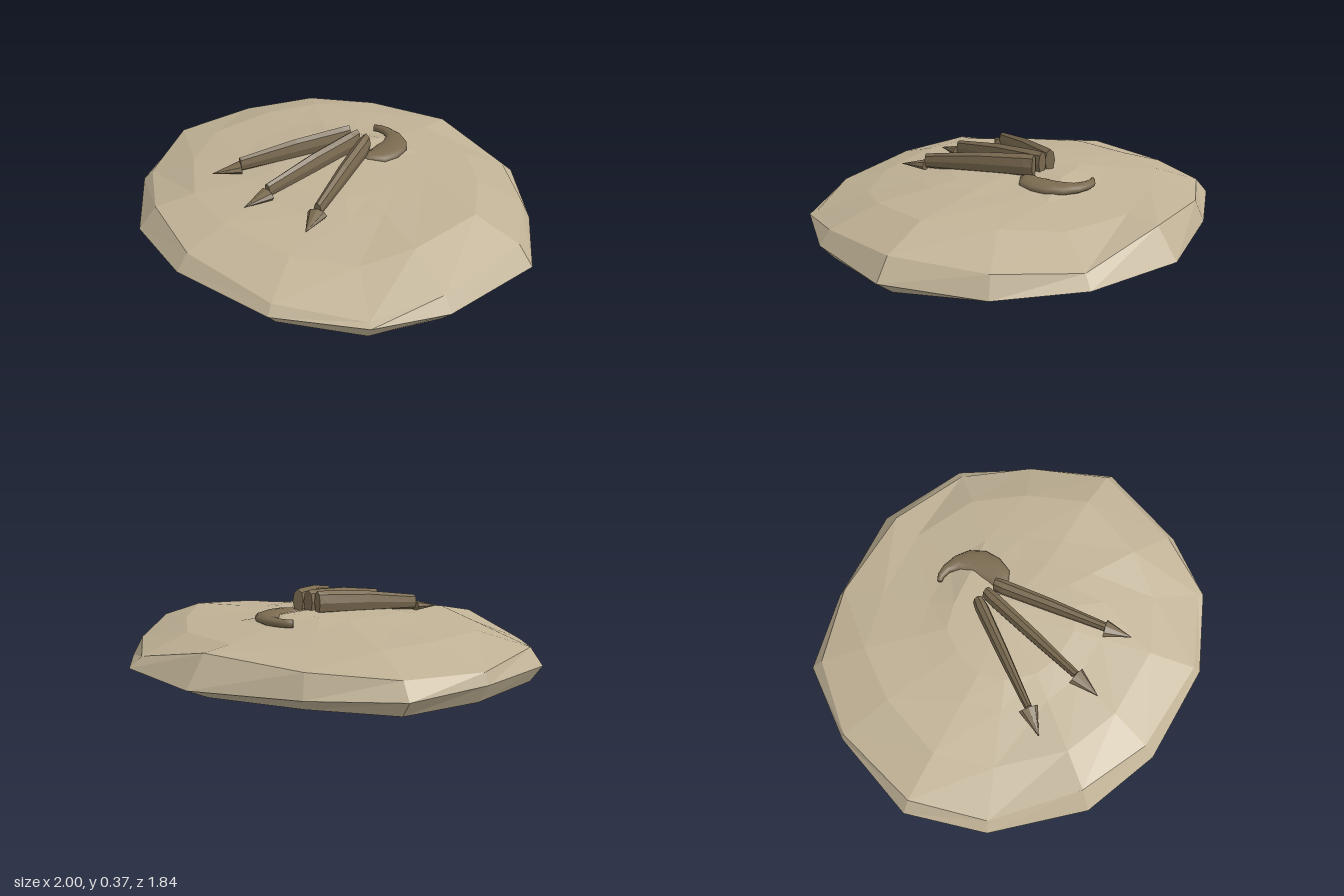
import * as THREE from 'three';

// Skin a list of rings (arrays of Vector3) and close both ends with fans.
function loft(rings, start, end, flat = true) {
  const n = rings[0].length, pos = [], idx = [];
  rings.forEach(r => r.forEach(p => pos.push(p.x, p.y, p.z)));
  const s = pos.length / 3, e = s + 1, last = (rings.length - 1) * n;
  pos.push(...start.toArray(), ...end.toArray());
  for (let j = 0; j < n; j++) {
    const k = (j + 1) % n;
    for (let i = 0; i < rings.length - 1; i++) {
      const a = i * n + j, b = i * n + k, c = a + n, d = b + n;
      idx.push(a, c, b, b, c, d);
    }
    idx.push(s, j, k, last + j, e, last + k);
  }
  let g = new THREE.BufferGeometry();
  g.setAttribute('position', new THREE.Float32BufferAttribute(pos, 3));
  g.setIndex(idx);
  if (flat) g = g.toNonIndexed();
  g.computeVertexNormals();
  return g;
}

// Elliptical sections along a path: each section is [x, y, z, halfWidth, halfHeight].
function limb(sections, sides, flat) {
  const c = sections.map(s => new THREE.Vector3(s[0], s[1], s[2]));
  const rings = sections.map(([, , , w, h], i) => {
    const d = c[Math.min(i + 1, c.length - 1)].clone().sub(c[Math.max(i - 1, 0)]);
    const side = new THREE.Vector3(d.z, 0, -d.x).normalize();
    return Array.from({ length: sides }, (_, j) => {
      const a = j / sides * Math.PI * 2;
      const p = c[i].clone().addScaledVector(side, Math.sin(a) * w);
      p.y += Math.cos(a) * h;
      return p;
    });
  });
  return loft(rings, c[0], c[c.length - 1], flat);
}

export function createModel() {
  const model = new THREE.Group();
  const sand = new THREE.MeshStandardMaterial({ name: 'sand', color: 0xbfb195 });
  const brown = new THREE.MeshStandardMaterial({ name: 'brown', color: 0x7a6a50 });
  const add = (name, geo, mat) => {
    const m = new THREE.Mesh(geo, mat);
    m.name = name;
    model.add(m);
  };

  // Mound outline: [x, z, base scale, edge height, rim scale, rim height, shoulder height, crown height]
  const outline = [
    [0, -0.92, 0.87, 0.055, 0.89, 0.19, 0.2, 0.28],
    [0.46, -0.83, 0.88, 0.06, 0.94, 0.11, 0.2, 0.252],
    [0.75, -0.57, 0.92, 0.035, 0.95, 0.125, 0.22, 0.25],
    [1, -0.21, 0.91, 0.075, 0.93, 0.167, 0.24, 0.255],
    [0.94, 0.27, 0.94, 0.07, 0.95, 0.135, 0.215, 0.255],
    [0.79, 0.58, 0.94, 0.09, 0.97, 0.1, 0.18, 0.255],
    [0.46, 0.82, 0.92, 0.09, 0.96, 0.13, 0.195, 0.255],
    [-0.02, 0.92, 0.9, 0.095, 0.935, 0.165, 0.22, 0.258],
    [-0.41, 0.86, 0.92, 0.085, 0.91, 0.19, 0.225, 0.258],
    [-0.8, 0.59, 0.94, 0.065, 0.95, 0.115, 0.205, 0.258],
    [-1, 0.25, 0.95, 0.075, 0.945, 0.155, 0.21, 0.258],
    [-0.96, -0.21, 0.95, 0.08, 0.98, 0.13, 0.215, 0.26],
    [-0.82, -0.58, 0.94, 0.07, 0.94, 0.14, 0.21, 0.262],
    [-0.47, -0.77, 0.9, 0.06, 0.95, 0.16, 0.205, 0.27],
  ];
  // Each level gives a scale and a height for every outline column
  const levels = [
    o => [o[2], 0], o => [1, o[3]], o => [o[4], o[5]],
    o => [0.72, o[6]], o => [0.46, 0.19 + o[6] * 0.23], o => [0.32, o[7]],
  ];
  const rings = levels.map(level => outline.map(o => {
    const [s, y] = level(o);
    return new THREE.Vector3(o[0] * s, y, o[1] * s);
  }));
  add('mound', loft(rings, new THREE.Vector3(), new THREE.Vector3(-0.02, 0.278, -0.05)), sand);

  // Three toes, tall and narrow, each ending in a wider pointed claw
  const toes = [
    ['right', -0.07, -0.28, 0.36, -0.34, 0.48],
    ['middle', -0.015, -0.015, 0.415, -0.015, 0.55],
    ['left', 0.045, 0.255, 0.36, 0.31, 0.48],
  ];
  for (const [name, x0, x1, z1, tx, tz] of toes) {
    const at = (t, y, w, h) => [x0 + (x1 - x0) * t, y, -0.16 + (z1 + 0.16) * t, w, h];
    add(name + 'Toe', limb([
      at(0, 0.316, 0.026, 0.056), at(0.08, 0.315, 0.032, 0.056),
      at(0.5, 0.302, 0.028, 0.052), at(1, 0.278, 0.018, 0.036),
    ], 8, true), brown);
    add(name + 'Claw', limb([
      [x1, 0.259, z1, 0.045, 0.026], [tx, 0.25, tz, 0.001, 0.001],
    ], 8, true), brown);
  }

  // Curved rear spur: a flattened crescent that tapers at both ends
  const spur = [
    [0.03, -0.13, 0.02], [0.07, -0.15, 0.042], [0.1, -0.195, 0.066],
    [0.102, -0.25, 0.075], [0.092, -0.305, 0.073], [0.062, -0.355, 0.06],
    [0.02, -0.39, 0.039], [-0.04, -0.405, 0.025], [-0.085, -0.4, 0.018], [-0.11, -0.385, 0.012],
  ];
  add('rearSpur', limb(spur.map(([x, z, w]) => [x, 0.257, z, w, 0.017 + w * 0.12]), 12, false), brown);

  return model;
}
